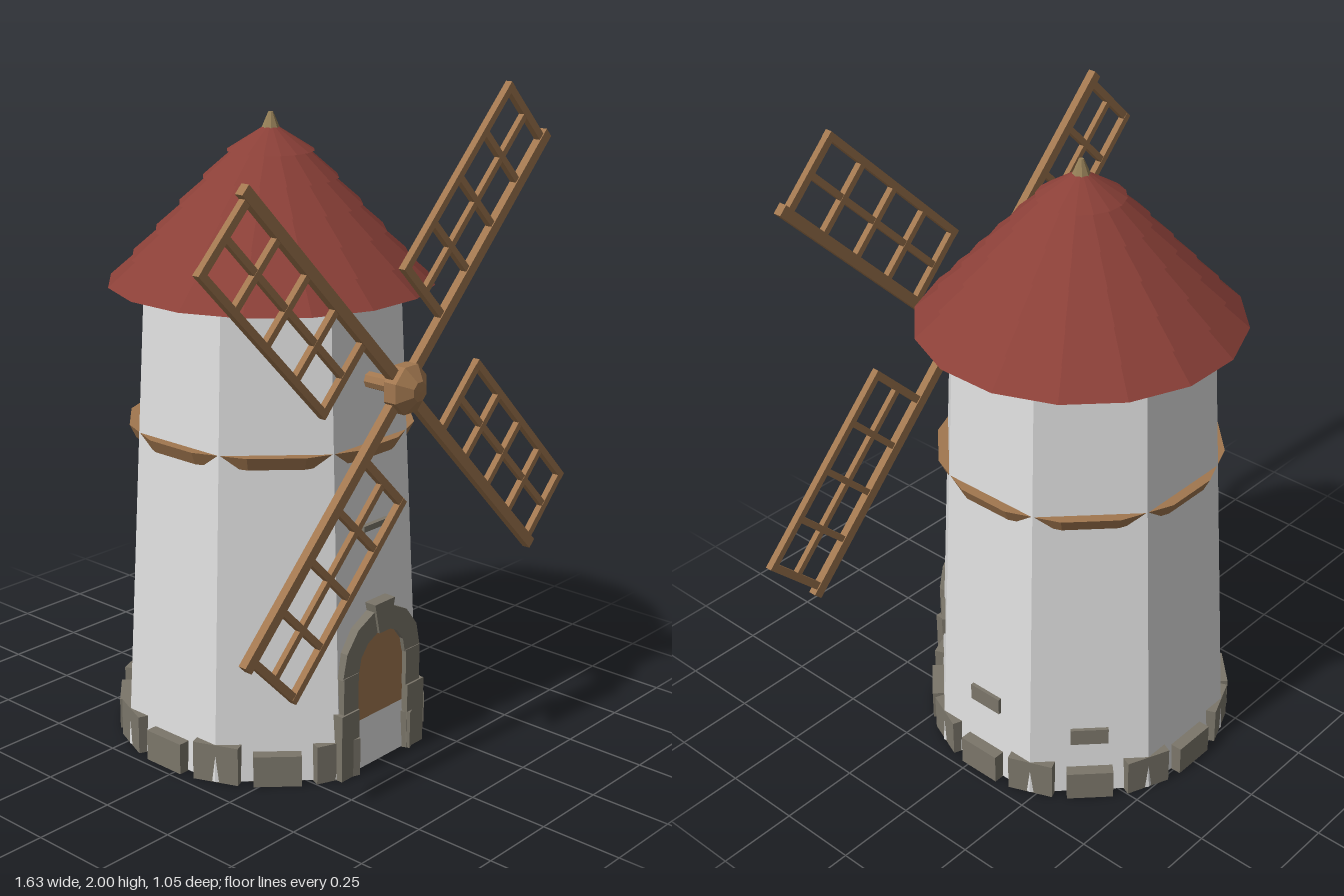
import * as THREE from 'three';

const mat = (name, color) => {
  const m = new THREE.MeshStandardMaterial({ color });
  m.name = name;
  return m;
};

// Faceted normals, so every flat side reads as its own plane
const flat = (g) => {
  const f = g.index ? g.toNonIndexed() : g;
  f.computeVertexNormals();
  return f;
};

export function createModel() {
  const plaster = mat('plaster', 0xe0e0e0);
  const tiles = mat('roofTiles', 0x8b4038);
  const wood = mat('wood', 0xa1774f);
  const stone = mat('stone', 0x7b766a);
  const finialTan = mat('finialTan', 0x968058);

  const model = new THREE.Group();
  model.name = 'windmill';
  const group = (name, parent) => {
    const g = new THREE.Group();
    g.name = name;
    parent.add(g);
    return g;
  };
  const add = (parent, name, geo, material, x = 0, y = 0, z = 0) => {
    const m = new THREE.Mesh(flat(geo), material);
    m.name = name;
    m.position.set(x, y, z);
    parent.add(m);
    return m;
  };
  const box = (parent, name, material, w, h, d, x, y, z) =>
    add(parent, name, new THREE.BoxGeometry(w, h, d), material, x, y, z);
  // Tapered prism with one flat side facing front; radii are to the flats
  const prism = (parent, name, material, sides, rTop, rBottom, y0, y1) => {
    const k = 1 / Math.cos(Math.PI / sides);
    const g = new THREE.CylinderGeometry(rTop * k, rBottom * k, y1 - y0, sides);
    g.rotateY(Math.PI / sides);
    return add(parent, name, g, material, 0, (y0 + y1) / 2, 0);
  };

  // Tower
  const tower = group('tower', model);
  tower.position.z = -0.048;
  const wallRadius = (y) => 0.445 - 0.051 * y;
  prism(tower, 'wall', plaster, 8, wallRadius(1.43), wallRadius(0.003), 0.003, 1.43);
  prism(tower, 'foundation', stone, 8, 0.44, 0.44, 0, 0.03);
  prism(tower, 'belt', wood, 16, 0.425, 0.406, 0.96, 1.0);

  // Ring of base stones, taller on the corners, open at the door
  const stones = group('baseStones', tower);
  for (let i = 1; i < 16; i++) {
    const pivot = group('baseStone', stones);
    pivot.rotation.y = (i * Math.PI) / 8;
    const h = i % 2 ? 0.12 : 0.097;
    box(pivot, 'block', stone, 0.142, h, 0.08, 0, h / 2, 0.437);
  }

  // Loose bricks set into the wall: facet number, height
  [[1, 0.357], [2, 0.27], [3, 0.215]].forEach(([facet, y]) => {
    const pivot = group('wallBrick', tower);
    pivot.rotation.y = (facet * Math.PI) / 4;
    box(pivot, 'brick', stone, 0.115, 0.055, 0.04, 0, y, wallRadius(y) - 0.01);
  });
  box(tower, 'sill', stone, 0.115, 0.018, 0.05, 0, 0.75, wallRadius(0.75) - 0.01);

  // Roof: overlapping courses of tiles
  const roof = group('roof', tower);
  for (let i = 0; i < 6; i++) {
    const r = 0.477 - 0.07 * i;
    const y = 1.42 + 0.077 * i;
    const last = i === 5;
    prism(roof, 'roofCourse', tiles, 16, last ? 0.018 : r - 0.092, r, y, y + (last ? 0.07 : 0.082));
  }
  add(roof, 'finial', new THREE.CylinderGeometry(0.007, 0.037, 0.07, 8), finialTan, 0, 1.88, 0);

  // Door and its stone arch
  const entrance = group('entrance', model);
  const springY = 0.32;
  const doorShape = new THREE.Shape();
  doorShape.moveTo(-0.112, 0);
  doorShape.lineTo(0.112, 0);
  doorShape.lineTo(0.112, springY);
  doorShape.absarc(0, springY, 0.112, 0, Math.PI, false);
  doorShape.closePath();
  const extrude = (s, depth) =>
    new THREE.ExtrudeGeometry(s, { depth, bevelEnabled: false, curveSegments: 12 });
  add(entrance, 'door', extrude(doorShape, 0.08), wood, 0, 0, 0.309);
  for (const s of [-1, 1]) {
    box(entrance, 'lowerJamb', stone, 0.078, 0.21, 0.07, s * 0.151, 0.105, 0.376);
    box(entrance, 'upperJamb', stone, 0.065, 0.115, 0.065, s * 0.143, 0.2675, 0.372);
  }
  for (let i = 0; i < 7; i++) {
    const a0 = (i * Math.PI) / 7;
    const a1 = ((i + 1) * Math.PI) / 7;
    const key = i === 3;
    const outer = key ? 0.205 : 0.178;
    const p = (r, a) => new THREE.Vector2(r * Math.cos(a), r * Math.sin(a));
    const wedge = new THREE.Shape([p(0.107, a0), p(outer, a0), p(outer, a1), p(0.107, a1)]);
    add(entrance, key ? 'keystone' : 'archStone', extrude(wedge, key ? 0.075 : 0.067), stone, 0, springY, 0.335);
  }

  // Shaft, hub and four lattice sails
  const rotor = group('rotor', model);
  rotor.position.set(0, 1.185, 0.46);
  const shaft = new THREE.CylinderGeometry(0.025, 0.025, 0.2, 8).rotateX(Math.PI / 2);
  add(rotor, 'shaft', shaft, wood, 0, 0, -0.12);
  const hub = new THREE.LatheGeometry(
    [[0, -0.03], [0.05, -0.03], [0.075, -0.012], [0.075, 0.03], [0.03, 0.063], [0, 0.065]]
      .map(([x, y]) => new THREE.Vector2(x, y)), 8);
  hub.rotateY(Math.PI / 8).rotateX(Math.PI / 2);
  add(rotor, 'hub', hub, wood);
  for (let i = 0; i < 4; i++) {
    const sail = group('sail', rotor);
    sail.rotation.z = Math.PI / 4 + (i * Math.PI) / 2;
    box(sail, 'arm', wood, 0.92, 0.034, 0.026, 0.46, 0, 0);
    box(sail, 'outerRail', wood, 0.67, 0.022, 0.022, 0.567, 0.243, 0);
    box(sail, 'middleRail', wood, 0.66, 0.02, 0.018, 0.567, 0.125, 0);
    for (let j = 0; j < 5; j++) {
      const end = j === 0 || j === 4;
      box(sail, 'crossBar', wood, end ? 0.024 : 0.02, 0.245, 0.02, 0.244 + j * 0.1615, 0.124, 0);
    }
  }

  return model;
}
